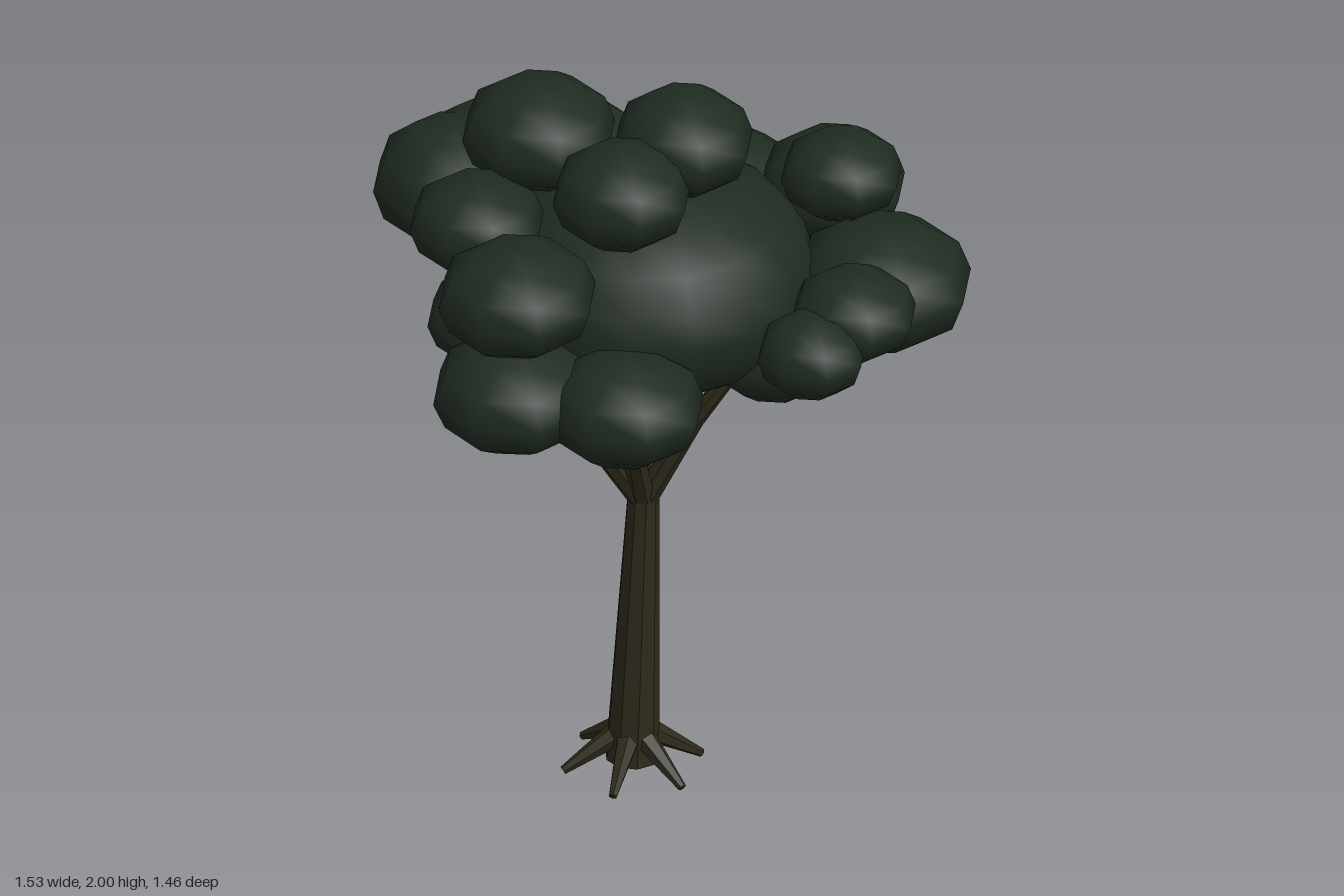
import * as THREE from 'three';

const leafMat = new THREE.MeshStandardMaterial({ color: 0x1f2b21 });
const barkMat = new THREE.MeshStandardMaterial({ color: 0x2d291b });
leafMat.name = 'dark leaf green';
barkMat.name = 'dark bark brown';

// Tapered, faceted limb between two points
function limb(name, from, to, r0, r1, sides) {
  const a = new THREE.Vector3(...from), b = new THREE.Vector3(...to);
  const dir = b.clone().sub(a);
  const geo = new THREE.CylinderGeometry(r1, r0, dir.length(), sides).toNonIndexed();
  geo.computeVertexNormals();
  const mesh = new THREE.Mesh(geo, barkMat);
  mesh.name = name;
  mesh.position.copy(a).add(b).multiplyScalar(0.5);
  mesh.quaternion.setFromUnitVectors(new THREE.Vector3(0, 1, 0), dir.normalize());
  return mesh;
}

// Leaf clumps: x, y, z, width radius, height radius, optional tilt about x
const clumps = [
  [-0.25, 1.83, 0.09, 0.2, 0.14],
  [0.12, 1.865, 0.01, 0.182, 0.135],
  [0.07, 1.81, 0.24, 0.18, 0.135],
  [-0.09, 1.6, 0.495, 0.206, 0.142, 0.06],
  [-0.085, 1.335, 0.51, 0.216, 0.145, 0.05],
  [0.19, 1.33, 0.44, 0.205, 0.145],
  [-0.29, 1.68, 0.34, 0.175, 0.125],
  [-0.3, 1.34, 0.22, 0.18, 0.12],
  [-0.36, 1.31, -0.13, 0.19, 0.145],
  [-0.56, 1.54, -0.02, 0.205, 0.165],
  [-0.52, 1.58, -0.14, 0.165, 0.125],
  [-0.41, 1.48, -0.35, 0.205, 0.165],
  [-0.04, 1.39, -0.53, 0.208, 0.155],
  [0.15, 1.23, -0.515, 0.217, 0.135, -0.16],
  [0.3, 1.56, -0.44, 0.19, 0.14],
  [0.37, 1.65, -0.36, 0.158, 0.112],
  [0.53, 1.42, -0.28, 0.233, 0.165],
  [0.6, 1.49, -0.005, 0.163, 0.115],
  [0.565, 1.44, 0.15, 0.141, 0.11],
  [0.34, 1.29, -0.07, 0.185, 0.135],
];

export function createModel() {
  const tree = new THREE.Group();
  tree.name = 'tree';

  // Crown: one broad core ringed by smaller clumps
  const crown = new THREE.Group();
  crown.name = 'crown';
  const core = new THREE.Mesh(new THREE.SphereGeometry(1, 16, 10), leafMat);
  core.name = 'crownCore';
  core.position.set(0.015, 1.455, 0.005);
  core.scale.set(0.43, 0.29, 0.43);
  crown.add(core);
  const ball = new THREE.SphereGeometry(1, 8, 6);
  clumps.forEach(([x, y, z, r, h, tilt = 0], i) => {
    const clump = new THREE.Mesh(ball, leafMat);
    clump.name = `leafClump${i + 1}`;
    clump.position.set(x, y, z);
    clump.scale.set(r, h, r);
    clump.rotation.x = tilt;
    crown.add(clump);
  });
  tree.add(crown);

  // Leaning trunk
  tree.add(limb('trunk', [-0.032, 0.025, 0], [0.002, 0.84, 0], 0.069, 0.039, 9));

  // Branches, each with a bend part way up
  const tips = [
    [0.27, 1.25, -0.06], [0.03, 1.2, -0.38], [-0.21, 1.26, 0.05],
    [-0.17, 1.26, 0.32], [0.07, 1.28, 0.27],
  ];
  tips.forEach(([x, y, z], i) => {
    const elbow = [x * 0.5, 0.79 + (y - 0.79) * 0.55, z * 0.5];
    tree.add(limb(`branch${i + 1}Lower`, [0, 0.78, 0], elbow, 0.034, 0.025, 7));
    tree.add(limb(`branch${i + 1}Upper`, elbow, [x, y, z], 0.026, 0.016, 7));
  });

  // Roots splayed around the foot
  for (let i = 0; i < 6; i++) {
    const a = (i / 6) * Math.PI * 2 + 0.3;
    const c = Math.cos(a), s = Math.sin(a);
    tree.add(limb(`root${i + 1}`, [-0.03 + c * 0.035, 0.1, s * 0.035],
      [-0.025 + c * 0.18, 0.014, 0.01 + s * 0.18], 0.032, 0.011, 6));
  }
  return tree;
}
